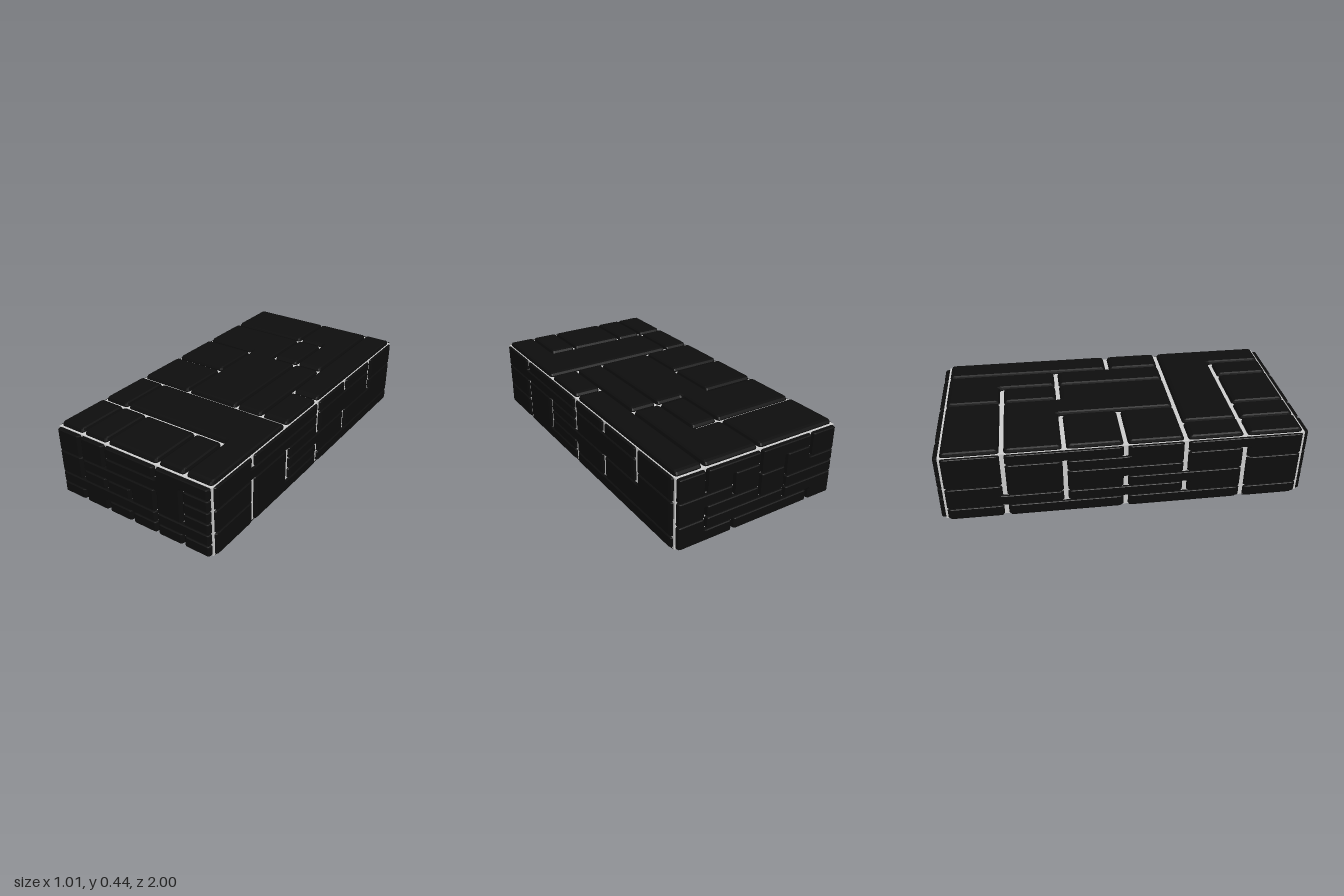
import * as THREE from 'three';

const CELL = new THREE.Vector3(0.1633, 0.0652, 0.325); // size of one of the 6 x 6 x 6 cells
const CENTRE_Y = 0.22;
const INSET = 0.037; // half the gap between tiles, in cells
const RADIUS = 0.09; // rounding of tile corners, in cells
const BEVEL = 0.07;

// Each face: axes seen from outside (u right, v up, n outward), tile height in cells,
// and a map in which cells with the same letter form one tile
const FACES = [
  { name: 'front', u: [1, 0, 0], v: [0, 1, 0], n: [0, 0, 1], height: 0.077,
    map: ['ABCCDD', 'ABDDDE', 'FGGGDH', 'FIJGDK', 'LLLLMM', 'NLOPQR'] },
  { name: 'right', u: [0, 0, -1], v: [0, 1, 0], n: [1, 0, 0], height: 0.08,
    map: ['ABBCDE', 'AAAFFE', 'GHIFFJ', 'GHKKJJ', 'MHNKJJ', 'MHHOOO'] },
  { name: 'top', u: [1, 0, 0], v: [0, 0, -1], n: [0, 1, 0], height: 0.36,
    map: ['AAABBC', 'DDDEBC', 'FFDDHC', 'IIDDHK', 'LMMMMM', 'NOPPQM'] },
  { name: 'back', u: [-1, 0, 0], v: [0, 1, 0], n: [0, 0, -1], height: 0.077,
    map: ['ABBCCD', 'ABECFD', 'GGEHFF', 'GIIHJJ', 'KLLLMM', 'KKNNNM'] },
  { name: 'left', u: [0, 0, 1], v: [0, 1, 0], n: [-1, 0, 0], height: 0.08,
    map: ['ABBCDD', 'AECCFD', 'AEGGFH', 'IEGJJH', 'IIKKJH', 'LMMNNO'] },
  { name: 'bottom', u: [1, 0, 0], v: [0, 0, 1], n: [0, -1, 0], height: 0.36,
    map: ['AABBCC', 'DABEEC', 'DDFFEG', 'HHFIIG', 'HJKKIG', 'JJLKMM'] },
];

// Walk counter-clockwise round the cells of one letter and return the corner points
function traceOutline(map, letter) {
  const inside = (x, y) => map[5 - y]?.[x] === letter;
  const next = new Map();
  const link = (x0, y0, x1, y1) => next.set(`${x0},${y0}`, [x1, y1]);
  for (let y = 0; y < 6; y++) {
    for (let x = 0; x < 6; x++) {
      if (!inside(x, y)) continue;
      if (!inside(x, y - 1)) link(x, y, x + 1, y);
      if (!inside(x + 1, y)) link(x + 1, y, x + 1, y + 1);
      if (!inside(x, y + 1)) link(x + 1, y + 1, x, y + 1);
      if (!inside(x - 1, y)) link(x, y + 1, x, y);
    }
  }
  const points = [];
  const start = next.keys().next().value;
  let key = start;
  do {
    const p = next.get(key);
    points.push(new THREE.Vector2(p[0] - 3, p[1] - 3));
    key = p.join(',');
  } while (key !== start && points.length < 80);
  return points;
}

// Outline pulled in by the gap, with rounded corners
function tileShape(outline) {
  const shape = new THREE.Shape();
  let started = false;
  outline.forEach((p, i) => {
    const before = outline[(i + outline.length - 1) % outline.length];
    const after = outline[(i + 1) % outline.length];
    const a = p.clone().sub(before);
    const b = after.clone().sub(p);
    if (Math.abs(a.cross(b)) < 0.5) return; // straight run
    const corner = new THREE.Vector2(p.x - (a.y + b.y) * INSET, p.y + (a.x + b.x) * INSET);
    const from = corner.clone().addScaledVector(a, -RADIUS);
    const to = corner.clone().addScaledVector(b, RADIUS);
    if (started) shape.lineTo(from.x, from.y);
    else shape.moveTo(from.x, from.y);
    started = true;
    shape.quadraticCurveTo(corner.x, corner.y, to.x, to.y);
  });
  shape.closePath();
  return shape;
}

function makeTile(face, letter, placement, material) {
  const bevelThickness = face.height * 0.75;
  const depth = 0.1 + face.height;
  const geometry = new THREE.ExtrudeGeometry(tileShape(traceOutline(face.map, letter)), {
    depth, curveSegments: 3, bevelEnabled: true, bevelSegments: 2,
    bevelSize: BEVEL, bevelOffset: -BEVEL, bevelThickness,
  });
  geometry.translate(0, 0, 3 + face.height - bevelThickness - depth);
  geometry.applyMatrix4(placement);
  return new THREE.Mesh(geometry, material);
}

export function createModel() {
  const model = new THREE.Group();
  model.name = 'tiledBlock';
  const grey = new THREE.MeshStandardMaterial({ color: 0xcccccc });
  const black = new THREE.MeshStandardMaterial({ color: 0x0d0d0d });

  // Solid core showing in the gaps
  const core = new THREE.Mesh(new THREE.BoxGeometry(6 * CELL.x, 6 * CELL.y, 6 * CELL.z), grey);
  core.name = 'core';
  core.position.y = CENTRE_Y;
  model.add(core);

  // Raised tiles on all six faces
  for (const face of FACES) {
    const group = new THREE.Group();
    group.name = `${face.name}Tiles`;
    group.position.y = CENTRE_Y;
    const axes = [face.u, face.v, face.n].map((a) => new THREE.Vector3(...a));
    const placement = new THREE.Matrix4().makeBasis(...axes)
      .premultiply(new THREE.Matrix4().makeScale(CELL.x, CELL.y, CELL.z));
    for (const letter of new Set(face.map.join(''))) {
      const tile = makeTile(face, letter, placement, black);
      tile.name = `${face.name}Tile${letter}`;
      group.add(tile);
    }
    model.add(group);
  }
  return model;
}
